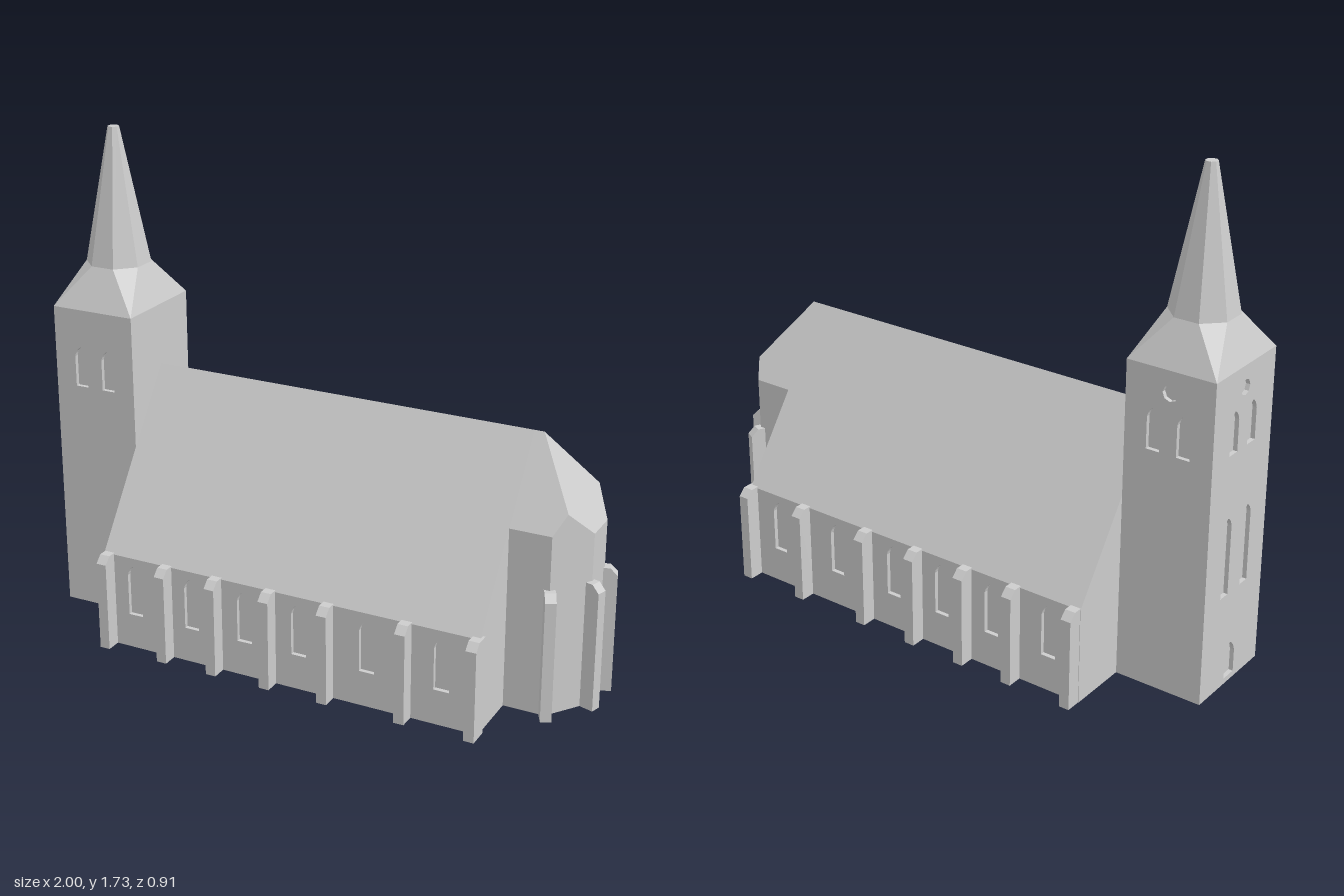
import * as THREE from 'three';

const stone = new THREE.MeshStandardMaterial({ color: 0xcccccc, flatShading: true });
stone.name = 'stone';

const RECESS = 0.015;                       // depth of window openings
const RIDGE = 0.905, EAVES = 0.34, NAVE_Z = 0.4;
const PITCH = (RIDGE - EAVES) / NAVE_Z;
const NAVE_X0 = -0.685, NAVE_X1 = 0.715;
const TOWER_X = -0.8425, TOWER_HX = 0.1575, TOWER_HZ = 0.18, TOWER_H = 1.12;

function add(parent, name, geometry) {
  const mesh = new THREE.Mesh(geometry, stone);
  mesh.name = name;
  parent.add(mesh);
  return mesh;
}

const extrude = (shape, depth) =>
  new THREE.ExtrudeGeometry(shape, { depth, bevelEnabled: false, curveSegments: 4 });

const polygon = (pts) => new THREE.Shape(pts.map(([x, y]) => new THREE.Vector2(x, y)));

// Fan-triangulates a list of flat polygons
function fromFaces(faces) {
  const pos = [];
  for (const f of faces)
    for (let i = 1; i < f.length - 1; i++) pos.push(...f[0], ...f[i], ...f[i + 1]);
  const g = new THREE.BufferGeometry();
  g.setAttribute('position', new THREE.Float32BufferAttribute(pos, 3));
  g.computeVertexNormals();
  return g;
}

// Pointed-arch opening
function lancet(x, y0, y1, w) {
  const h = w / 2, spring = y1 - w * 0.75, p = new THREE.Path();
  p.moveTo(x - h, y0);
  p.lineTo(x + h, y0);
  p.lineTo(x + h, spring);
  p.quadraticCurveTo(x + h * 0.8, y1 - w * 0.25, x, y1);
  p.quadraticCurveTo(x - h * 0.8, y1 - w * 0.25, x - h, spring);
  p.closePath();
  return p;
}

function roundOpening(x, y, r) {
  const p = new THREE.Path();
  p.absarc(x, y, r, 0, Math.PI * 2, true);
  return p;
}

// Thin wall skin pierced by openings
function wallPanel(x0, x1, h, openings) {
  const s = polygon([[x0, 0], [x1, 0], [x1, h], [x0, h]]);
  s.holes.push(...openings);
  return extrude(s, RECESS);
}

// Buttress with a chamfered top, pointing outward at the given angle from +x towards +z
function buttress(parent, x, z, angle, top, out, width) {
  const s = polygon([[-0.02, 0], [out, 0], [out, top - 0.025], [out - 0.025, top], [-0.02, top]]);
  const g = extrude(s, width);
  g.translate(0, 0, -width / 2);
  const m = add(parent, 'buttress', g);
  m.position.set(x, 0, z);
  m.rotation.y = -angle;
}

function buildNave() {
  const nave = new THREE.Group();
  nave.name = 'nave';

  // Core and gabled roof in one section, walls set back behind the skins
  const zi = NAVE_Z - RECESS;
  const core = extrude(polygon([
    [-zi, 0], [zi, 0], [zi, EAVES], [NAVE_Z, EAVES], [0, RIDGE], [-NAVE_Z, EAVES], [-zi, EAVES],
  ]), NAVE_X1 - NAVE_X0);
  core.rotateY(Math.PI / 2);
  core.translate(NAVE_X0, 0, 0);
  add(nave, 'naveBodyAndRoof', core);

  // Side walls with windows
  const windows = [-0.565, -0.34, -0.135, 0.07, 0.32, 0.585];
  for (const s of [1, -1]) {
    const ends = [NAVE_X0 * s, NAVE_X1 * s].sort((a, b) => a - b);
    const wall = add(nave, 'naveWall',
      wallPanel(ends[0], ends[1], EAVES, windows.map((x) => lancet(x * s, 0.125, 0.315, 0.055))));
    wall.position.z = s * zi;
    if (s < 0) wall.rotation.y = Math.PI;
    for (const x of [-0.665, -0.435, -0.24, -0.035, 0.18, 0.46, 0.705])
      buttress(nave, x, s * NAVE_Z, s * Math.PI / 2, 0.345, 0.053, 0.037);
  }
  return nave;
}

function buildApse() {
  const apse = new THREE.Group();
  apse.name = 'apse';
  const hipX = 0.75, hip = [0.8938, 0.1438];
  const side = [[NAVE_X1, 0.19], [0.86, 0.19], hip, [0.955, 0.06]];
  const mirror = ([x, z]) => [x, -z];
  const plan = [...side.map(mirror), ...side.slice().reverse()];
  const low = ([x, z]) => [x, 0, z];
  const high = ([x, z]) => [x, RIDGE - PITCH * Math.max(Math.abs(z), x - hipX), z];

  // Walls rise until they meet the roof planes
  const walls = [];
  for (let i = 0; i < plan.length - 1; i++) {
    const a = plan[i], b = plan[i + 1];
    walls.push([low(a), high(a), high(b), low(b)]);
  }
  walls.push(plan.map(low));
  add(apse, 'apseWalls', fromFaces(walls));

  // Two side slopes and the hipped end
  const slope = [[NAVE_X1, 0], side[0], side[1], hip, [hipX, 0]];
  const end = [[hipX, 0], hip, side[3], mirror(side[3]), mirror(hip)];
  add(apse, 'apseRoof', fromFaces([
    slope.map(high), slope.map(mirror).reverse().map(high), end.map(high),
  ]));

  for (const s of [1, -1]) {
    buttress(apse, 0.86, s * 0.19, s * 1.1, 0.45, 0.042, 0.037);
    buttress(apse, 0.955, s * 0.065, s * 0.3, 0.45, 0.042, 0.037);
  }
  return apse;
}

function buildTower() {
  const tower = new THREE.Group();
  tower.name = 'tower';
  tower.position.x = TOWER_X;
  const hx = TOWER_HX, hz = TOWER_HZ, zi = hz - RECESS;

  const core = new THREE.BoxGeometry(2 * hx - RECESS, TOWER_H, 2 * zi);
  core.translate(RECESS / 2, TOWER_H / 2, 0);
  add(tower, 'towerCore', core);

  // Pierced wall skins on three sides
  const belfry = () => [-0.054, 0.054].map((x) => lancet(x, 0.84, 0.985, 0.048));
  const oculus = () => roundOpening(0, 1.045, 0.027);
  const front = add(tower, 'towerFrontWall', wallPanel(-hx, hx, TOWER_H, belfry()));
  front.position.z = zi;
  const back = add(tower, 'towerBackWall', wallPanel(-hx, hx, TOWER_H, [...belfry(), oculus()]));
  back.position.z = -zi;
  back.rotation.y = Math.PI;
  const west = add(tower, 'towerEndWall', wallPanel(-zi, zi, TOWER_H, [
    ...belfry(), oculus(),
    ...[-0.06, 0.06].map((x) => lancet(x, 0.34, 0.62, 0.045)),
    lancet(0, 0.02, 0.145, 0.06),
  ]));
  west.position.x = -hx + RECESS;
  west.rotation.y = -Math.PI / 2;

  // Flared skirt from square tower to octagonal spire
  const y1 = 1.258, b = 0.105, a = b * Math.tan(Math.PI / 8);
  const C = [[-hx, hz], [hx, hz], [hx, -hz], [-hx, -hz]].map(([x, z]) => [x, TOWER_H, z]);
  const O = [[-a, b], [a, b], [b, a], [b, -a], [a, -b], [-a, -b], [-b, -a], [-b, a]]
    .map(([x, z]) => [x, y1, z]);
  const faces = [];
  for (let i = 0; i < 4; i++) {
    const next = C[(i + 1) % 4];
    faces.push([C[i], next, O[2 * i + 1], O[2 * i]], [next, O[(2 * i + 2) % 8], O[2 * i + 1]]);
  }
  add(tower, 'spireSkirt', fromFaces(faces));

  const top = 1.732;
  const spire = new THREE.CylinderGeometry(0.02, b / Math.cos(Math.PI / 8), top - y1, 8);
  spire.rotateY(Math.PI / 8);
  spire.translate(0, (top + y1) / 2, 0);
  add(tower, 'spire', spire);
  return tower;
}

export function createModel() {
  const church = new THREE.Group();
  church.name = 'church';
  church.add(buildNave(), buildApse(), buildTower());
  return church;
}
